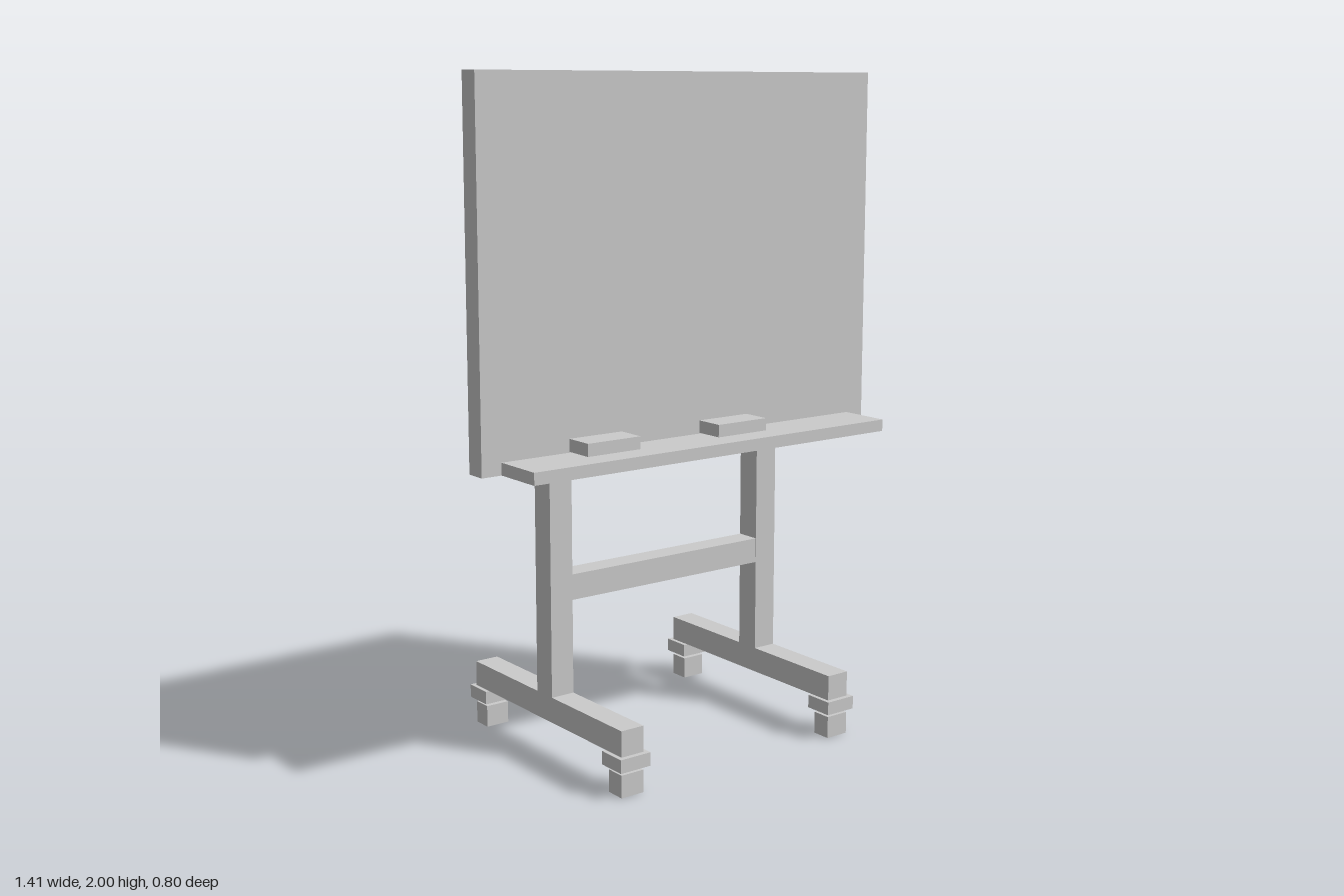
import * as THREE from 'three';

const material = new THREE.MeshStandardMaterial({ color: 0xcccccc, flatShading: true });

// Box given by its extents along each axis
function block(parent, name, [x0, x1], [y0, y1], [z0, z1]) {
  const mesh = new THREE.Mesh(new THREE.BoxGeometry(x1 - x0, y1 - y0, z1 - z0), material);
  mesh.name = name;
  mesh.position.set((x0 + x1) / 2, (y0 + y1) / 2, (z0 + z1) / 2);
  parent.add(mesh);
}

const around = (c, half) => [c - half, c + half];

export function createModel() {
  const model = new THREE.Group();
  model.name = 'mobileBoard';
  const postX = 0.388, postHalf = 0.038;

  // Side frames: foot, post, cap and two casters each
  for (const side of [-1, 1]) {
    const frame = new THREE.Group();
    frame.name = side > 0 ? 'leftFrame' : 'rightFrame';
    model.add(frame);
    const x = side * postX;
    block(frame, 'foot', around(x, postHalf), [0.12, 0.197], [-0.385, 0.385]);
    block(frame, 'post', around(x, postHalf), [0.197, 1.46], [-0.039, 0.039]);
    block(frame, 'postCap', around(x, 0.051), [1.46, 1.5], [-0.045, 0.045]);
    for (const end of [-1, 1]) {
      const z = end * 0.355;
      block(frame, 'casterPlate', around(x, 0.051), [0.08, 0.12], around(z, 0.045));
      block(frame, 'casterWheel', around(x, postHalf), [0, 0.067], around(z, 0.03));
    }
  }

  // Cross rails between the posts
  const railX = postX - postHalf;
  block(model, 'lowerRail', [-railX, railX], [0.48, 0.557], [-0.038, 0.038]);
  block(model, 'upperRail', [-railX, railX], [1.32, 1.397], [-0.038, 0.038]);

  // Writing panel with tray and two erasers
  block(model, 'panel', [-0.707, 0.707], [0.907, 2], [0.066, 0.13]);
  block(model, 'tray', [-0.643, 0.643], [0.907, 0.943], [0.13, 0.293]);
  for (const x of [-0.348, 0.115]) {
    block(model, 'eraser', around(x, 0.09), [0.953, 0.99], [0.16, 0.25]);
  }
  return model;
}
